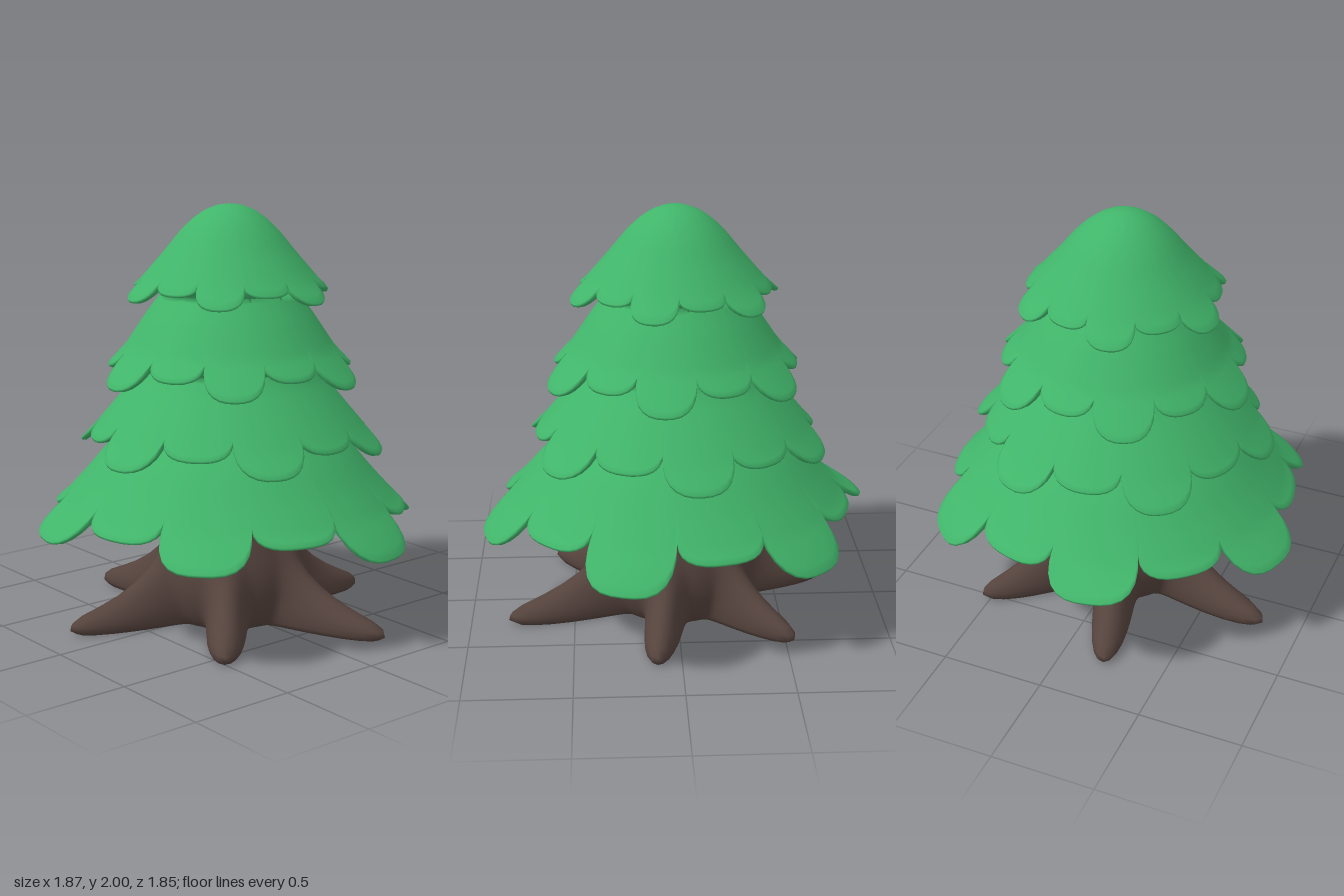
import * as THREE from 'three';
import { mergeVertices } from 'three/addons/utils/BufferGeometryUtils.js';

const RAD = Math.PI / 180;

// Closed rings of points, each joined to the next into a smooth skin
function loft(rows, cols, point) {
  const pos = [], index = [];
  for (let i = 0; i < rows; i++)
    for (let j = 0; j < cols; j++) pos.push(...point(i, j));
  for (let i = 0; i < rows - 1; i++)
    for (let j = 0; j < cols; j++) {
      const k = (j + 1) % cols;
      const a = i * cols + j, b = i * cols + k, c = a + cols, d = b + cols;
      index.push(a, b, c, b, d, c);
    }
  let geo = new THREE.BufferGeometry();
  geo.setAttribute('position', new THREE.Float32BufferAttribute(pos, 3));
  geo.setIndex(index);
  geo = mergeVertices(geo, 1e-5);
  geo.computeVertexNormals();
  return geo;
}

// Height of a profile of [radius, height] points at radius r
function heightAt(profile, r) {
  let i = 1;
  while (i < profile.length - 1 && profile[i][0] < r) i++;
  const [r0, y0] = profile[i - 1], [r1, y1] = profile[i];
  return y0 + (y1 - y0) * (r - r0) / (r1 - r0);
}

// Thin open shell of foliage with twelve rounded lobes, alternately long and short
function tierGeometry({ profile, valley, long, short, phase, square, drops }) {
  const LOBES = 12, SEG = 14, OUTER = 16, INNER = 8, THICK = 0.05;
  const top = profile[0][0], rim = valley - 0.02;
  return loft(OUTER + INNER + 4, LOBES * SEG, (i, j) => {
    const lobe = Math.floor(j / SEG);
    const p = -Math.cos((j % SEG) / SEG * Math.PI);
    const angle = (phase + 30 * lobe + 15 * p) * RAD;
    const shape = Math.sqrt(Math.max(0, 1 - Math.abs(p) ** square));
    const tip = lobe % 2 ? short : long;
    const edge = valley + (tip - valley) * shape;
    const drop = lobe % 2 || !drops ? 0 : drops[lobe / 2] * shape;
    const edgeY = heightAt(profile, edge) - drop;
    let r, y;
    if (i <= OUTER) {
      const t = i / OUTER;
      r = top + (edge - top) * t;
      y = heightAt(profile, r) - drop * t ** 5;
    } else if (i <= OUTER + 2) {
      // thin lip
      const under = i - OUTER - 1;
      r = edge - 0.004 - 0.02 * under;
      y = edgeY - 0.012 - 0.002 * under;
    } else if (i <= OUTER + INNER + 2) {
      // inside wall, back up to the top opening
      r = rim + (top - rim) * (i - OUTER - 3) / (INNER - 1);
      y = heightAt(profile, r) - THICK;
    } else {
      [r, y] = profile[0];
    }
    return [r * Math.cos(angle), y, r * Math.sin(angle)];
  });
}

// Trunk rings: [height, radius between roots, radius along roots]
const TRUNK = [
  [0.72, 0, 0], [0.705, 0.09, 0.09], [0.67, 0.17, 0.17], [0.6, 0.235, 0.235],
  [0.5, 0.28, 0.285], [0.42, 0.31, 0.325], [0.33, 0.345, 0.375], [0.26, 0.36, 0.43],
  [0.2, 0.365, 0.505], [0.15, 0.36, 0.59], [0.11, 0.35, 0.68], [0.075, 0.34, 0.77],
  [0.045, 0.325, 0.815], [0.02, 0.31, 0.82], [0, 0.29, 0.79], [0, 0, 0],
];
const ROOT_ANGLES = [41, 103, 164, 225, 279, 342];
const ROOT_LENGTHS = [0.79, 0.84, 0.79, 0.76, 0.75, 0.86];

function trunkGeometry() {
  const SEG = 28;
  return loft(TRUNK.length, 6 * SEG, (i, j) => {
    const root = Math.floor(j / SEG);
    const local = (j % SEG) / SEG - 0.5;
    // each root's sector reaches halfway to its neighbours
    const side = local < 0 ? -1 : 1;
    const own = ROOT_ANGLES[root], next = ROOT_ANGLES[(root + side + 6) % 6];
    const gap = ((next - own) * side + 360) % 360;
    const angle = (own + gap * local) * RAD;
    const [y, base, crest] = TRUNK[i];
    const ridge = (0.5 + 0.5 * Math.cos(local * 2 * Math.PI)) ** 3;
    const stretch = 1 + (ROOT_LENGTHS[root] / 0.82 - 1) * (crest - base) / 0.5;
    const r = base + (crest * stretch - base) * ridge;
    return [r * Math.cos(angle), y, r * Math.sin(angle)];
  });
}

const TIERS = [
  { name: 'topFoliage', valley: 0.415, long: 0.505, short: 0.455, phase: 105, square: 2.5,
    profile: [[0, 2], [0.06, 1.992], [0.12, 1.968], [0.18, 1.925], [0.24, 1.865],
      [0.3, 1.79], [0.36, 1.72], [0.42, 1.65], [0.505, 1.57]] },
  { name: 'upperFoliage', valley: 0.515, long: 0.64, short: 0.58, phase: 97, square: 2.5,
    profile: [[0.32, 1.59], [0.4, 1.48], [0.5, 1.33], [0.64, 1.18]] },
  { name: 'middleFoliage', valley: 0.61, long: 0.74, short: 0.675, phase: 83, square: 2.5,
    profile: [[0.41, 1.24], [0.45, 1.18], [0.55, 1.06], [0.65, 0.94], [0.74, 0.845]] },
  { name: 'bottomFoliage', valley: 0.765, long: 0.945, short: 0.85, phase: -73, square: 3.2,
    drops: [0.03, 0.03, 0, 0, -0.025, 0.03],
    profile: [[0.49, 0.95], [0.6, 0.83], [0.7, 0.71], [0.8, 0.6], [0.945, 0.475]] },
];

export function createModel() {
  const green = new THREE.MeshStandardMaterial({ color: 0x41b56a });
  green.name = 'leafGreen';
  const brown = new THREE.MeshStandardMaterial({ color: 0x55433d });
  brown.name = 'barkBrown';

  const tree = new THREE.Group();
  tree.name = 'tree';
  const add = (name, geometry, material) => {
    const mesh = new THREE.Mesh(geometry, material);
    mesh.name = name;
    tree.add(mesh);
  };
  add('trunkAndRoots', trunkGeometry(), brown);
  for (const tier of TIERS) add(tier.name, tierGeometry(tier), green);
  return tree;
}
